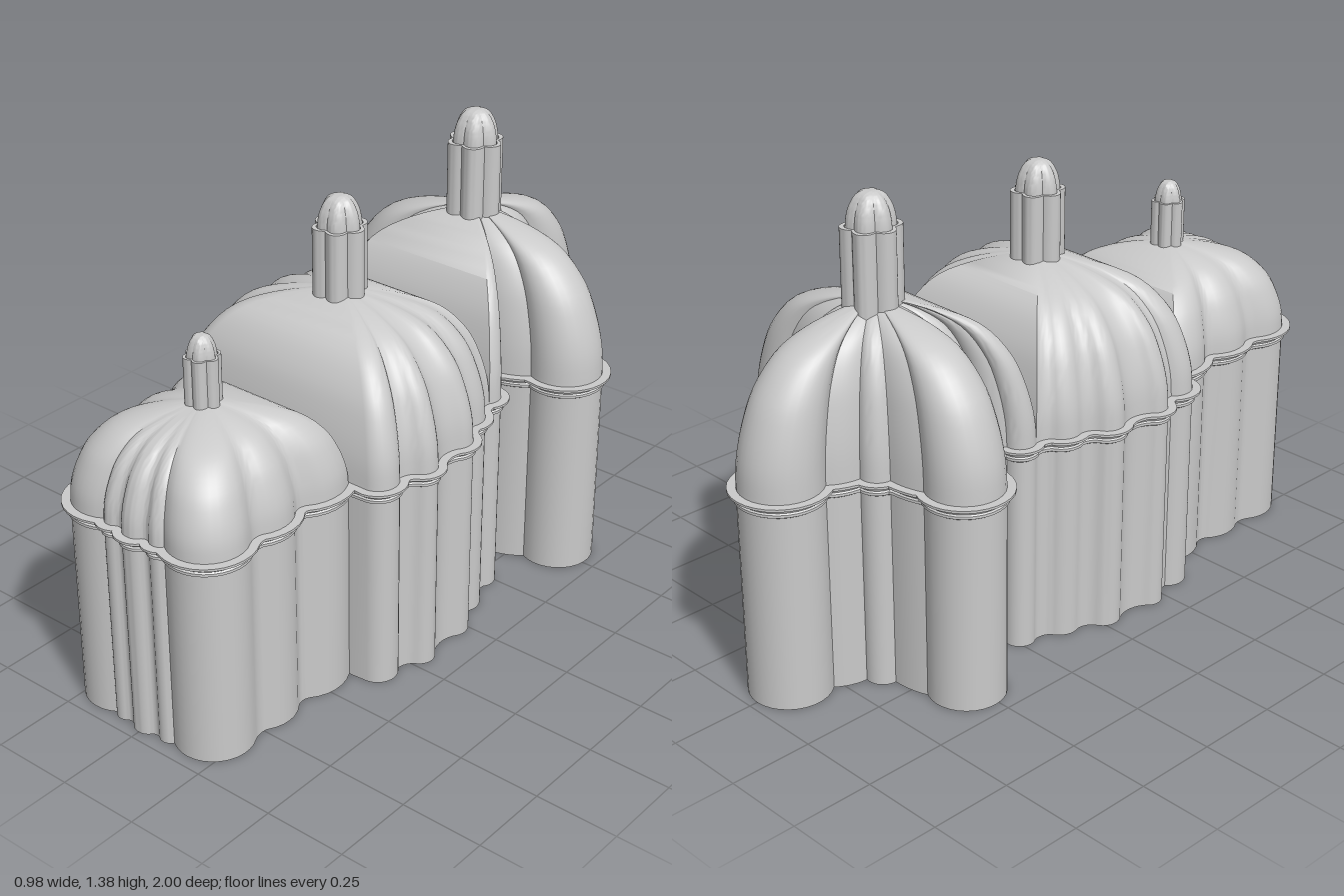
import * as THREE from 'three';
import { toCreasedNormals } from 'three/addons/utils/BufferGeometryUtils.js';

const V = (x, z) => new THREE.Vector2(x, z);
const EAVES = 0.63;

// Half plans of the three bays (x >= 0, front to back): [x, z, bulge of the arc to the next point]
const FRONT = [[0, 0.972, 0.005], [0.035, 0.955, -0.004], [0.06, 0.952, 0.012], [0.11, 0.945, 0.09],
  [0.27, 0.79, -0.005], [0.265, 0.74, 0.024], [0.26, 0.60, -0.005], [0.26, 0.56, 0.026], [0.275, 0.40, 0]];
const MIDDLE = [[0.335, 0.395, 0.035], [0.365, 0.29, -0.008], [0.395, 0.24, 0.02], [0.40, 0.165, -0.014],
  [0.392, 0.065, 0.022], [0.375, -0.02, -0.008], [0.35, -0.07, 0.018], [0.318, -0.15, -0.006],
  [0.305, -0.20, 0]];
const BACK = [[0.305, -0.20, 0.028], [0.265, -0.275, 0.008], [0.205, -0.31, 0.012], [0.20, -0.37, 0.008],
  [0.30, -0.415, 0.165], [0.30, -0.615, 0.006], [0.19, -0.635, 0.02], [0.125, -0.685, 0.008],
  [0.09, -0.775, 0.071], [0, -0.975, 0]];

// Samples a chain of circular arcs; negative bulges curve inward
function sampleArcs(list) {
  const out = [];
  for (let i = 0; i < list.length - 1; i++) {
    const [x, z, sag] = list[i];
    const a = V(x, z), b = V(list[i + 1][0], list[i + 1][1]);
    const c = a.distanceTo(b), t = b.clone().sub(a).divideScalar(c), n = V(-t.y, t.x);
    const half = 2 * Math.atan(2 * sag / c), R = (c * c / 4 + sag * sag) / (2 * sag);
    const centre = a.clone().add(b).multiplyScalar(0.5).addScaledVector(n, sag - R);
    const steps = Math.max(6, Math.ceil(half * 9));
    for (let k = 0; k < steps; k++) {
      const f = -half + 2 * half * k / steps;
      out.push(centre.clone().addScaledVector(n, R * Math.cos(f)).addScaledVector(t, R * Math.sin(f)));
    }
  }
  const end = list[list.length - 1];
  out.push(V(end[0], end[1]));
  return out;
}

// Mirrors a half plan into a closed loop without doubled points
function closeLoop(half) {
  const all = half.concat(half.map(p => V(-p.x, p.y)).reverse());
  return all.filter((p, i) => p.distanceTo(all[(i + 1) % all.length]) > 1e-4);
}

// Offsets a loop; points that fold over in tight corners are bridged
function offsetLoop(loop, d) {
  if (d === 0) return loop;
  const n = loop.length;
  const moved = loop.map((p, i) => {
    const t = loop[(i + 1) % n].clone().sub(loop[(i + n - 1) % n]).normalize();
    return p.clone().add(V(-t.y, t.x).multiplyScalar(d));
  });
  const good = moved.map(m => loop.every(p => p.distanceTo(m) > Math.abs(d) * 0.93));
  return moved.map((m, i) => {
    if (good[i]) return m;
    let a = 1, b = 1;
    while (!good[(i - a + n) % n] && a < n) a++;
    while (!good[(i + b) % n] && b < n) b++;
    return moved[(i - a + n) % n].clone().lerp(moved[(i + b) % n], a / (a + b));
  });
}

// Skins a stack of closed rings: [{ loop, y }]
function skin(rings, crease = 0.6) {
  const n = rings[0].loop.length, pos = [], idx = [];
  rings.forEach(r => r.loop.forEach(p => pos.push(p.x, r.y, p.y)));
  for (let j = 0; j < rings.length - 1; j++) {
    for (let i = 0; i < n; i++) {
      const a = j * n + i, b = j * n + (i + 1) % n;
      idx.push(a, b, b + n, a, b + n, a + n);
    }
  }
  const g = new THREE.BufferGeometry();
  g.setAttribute('position', new THREE.Float32BufferAttribute(pos, 3));
  g.setIndex(idx);
  return toCreasedNormals(g, crease);
}

// Sweeps a section of [offset, y] pairs around a loop
const sweep = (loop, section) => skin(section.map(([d, y]) => ({ loop: offsetLoop(loop, d), y })));

// Rings shrinking toward a centre along a profile of [scale, height] pairs
function vault(loop, cz, base, height, profile) {
  const curve = new THREE.SplineCurve(profile.map(p => V(p[0], p[1])));
  const rings = curve.getPoints(24).map(p => ({
    loop: loop.map(q => V(q.x * p.x, cz + (q.y - cz) * p.x)), y: base + height * p.y,
  }));
  return skin(rings, 0.7);
}

// Six-lobed ring for the lanterns
function lobedRing(r, cz, depth) {
  return Array.from({ length: 72 }, (_, i) => {
    const a = -i / 72 * Math.PI * 2;
    const k = r * (1 - depth + depth * Math.abs(Math.cos(3 * a)));
    return V(k * Math.cos(a), cz + k * Math.sin(a));
  });
}

export function createModel() {
  const model = new THREE.Group();
  const stone = new THREE.MeshStandardMaterial({ color: 0xcacaca, side: THREE.DoubleSide });
  stone.name = 'grey stone';
  const add = (name, geometry, parent = model) => {
    const mesh = new THREE.Mesh(geometry, stone);
    mesh.name = name;
    parent.add(mesh);
  };

  const halves = [FRONT, MIDDLE, BACK].map(sampleArcs);
  const plan = closeLoop(halves.flat());

  // Hollow scalloped wall
  add('wall', sweep(plan, [[-0.018, EAVES], [-0.018, 0], [0, 0], [0, EAVES]]));

  // Moulding and projecting lip at the eaves
  add('cornice', sweep(plan, [[0, 0.595], [0.008, 0.6], [0.008, 0.608], [0.004, 0.612], [0.01, 0.624],
    [0.025, 0.627], [0.025, 0.634], [-0.018, 0.634]]));

  const domeProfile = [[1, 0], [0.985, 0.2], [0.93, 0.42], [0.84, 0.625], [0.67, 0.815], [0.43, 0.925],
    [0.15, 0.99], [0, 1]];
  const capProfile = [[1, 0], [0.97, 0.35], [0.85, 0.64], [0.6, 0.88], [0.3, 0.98], [0, 1]];

  const bays = [
    { name: 'front', cz: 0.665, top: 0.91, r: 0.052, shaftTop: 1.045, tip: 1.107 },
    { name: 'middle', cz: 0.105, top: 1.03, r: 0.08, shaftTop: 1.222, tip: 1.312 },
    { name: 'back', cz: -0.515, top: 1.07, r: 0.086, shaftTop: 1.28, tip: 1.377 },
  ];
  bays.forEach((b, i) => {
    const bay = new THREE.Group();
    bay.name = b.name + 'Bay';
    model.add(bay);

    // Fluted dome
    add(b.name + 'Dome', vault(closeLoop(halves[i]), b.cz, EAVES, b.top - EAVES, domeProfile), bay);

    // Lantern shaft with an open rim, and a ribbed cap rising inside it
    const outer = lobedRing(b.r, b.cz, 0.22), inner = lobedRing(b.r * 0.84, b.cz, 0.2);
    add(b.name + 'LanternShaft', skin([
      { loop: outer, y: b.top - 0.04 }, { loop: outer, y: b.shaftTop },
      { loop: inner, y: b.shaftTop }, { loop: inner, y: b.shaftTop - 0.04 }]), bay);
    const capBase = b.shaftTop - 0.03;
    add(b.name + 'LanternCap',
      vault(lobedRing(b.r * 0.82, b.cz, 0.16), b.cz, capBase, b.tip - capBase, capProfile), bay);
  });
  return model;
}
